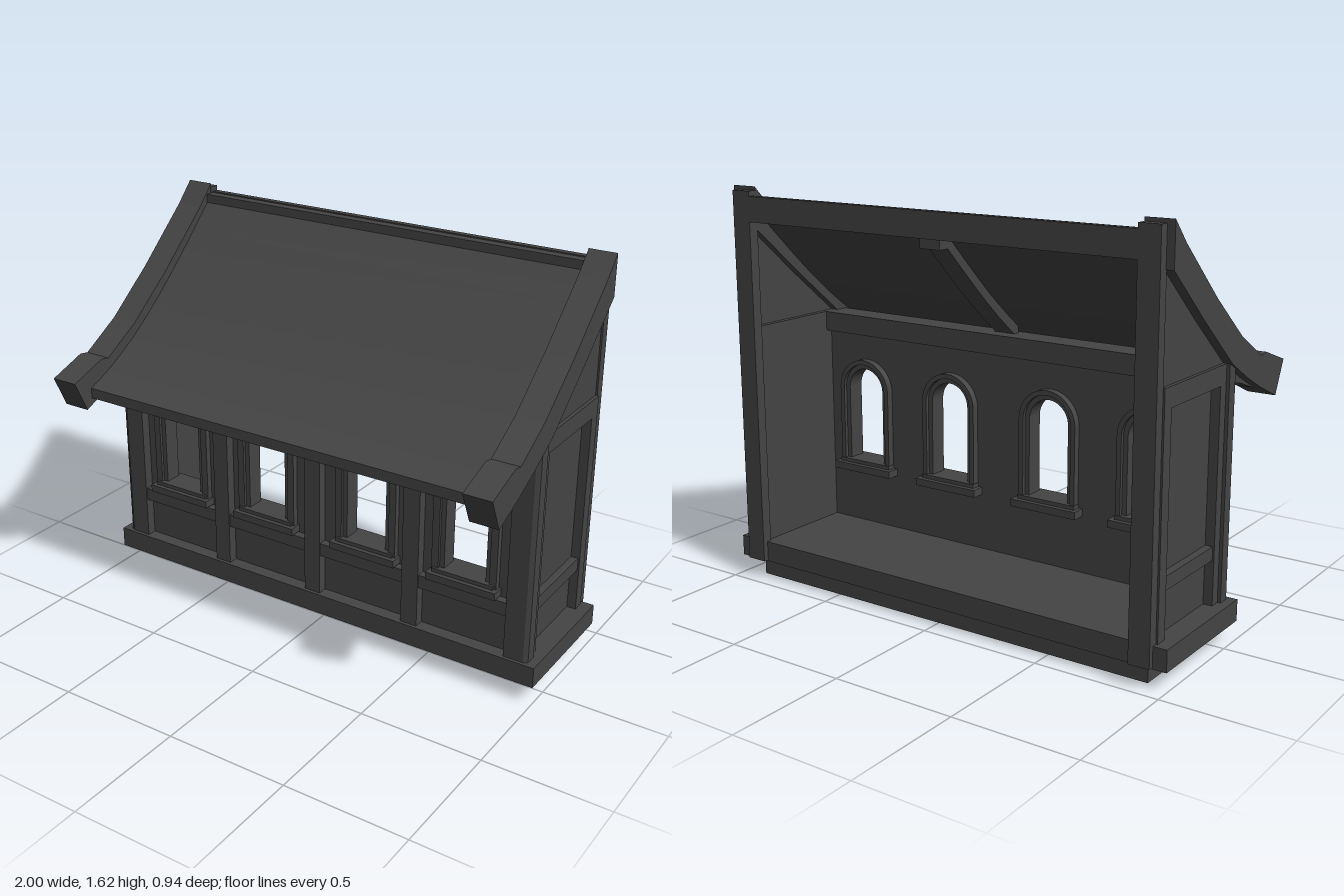
import * as THREE from 'three';

const material = new THREE.MeshStandardMaterial({ color: 0x444444, flatShading: true, side: THREE.DoubleSide });

export function createModel() {
  const model = new THREE.Group();

  const add = (name, geometry) => {
    const mesh = new THREE.Mesh(geometry, material);
    mesh.name = name;
    model.add(mesh);
    return mesh;
  };

  // Box given by its extents
  const box = (name, x0, x1, y0, y1, z0, z1) =>
    add(name, new THREE.BoxGeometry(x1 - x0, y1 - y0, z1 - z0)
      .translate((x0 + x1) / 2, (y0 + y1) / 2, (z0 + z1) / 2));

  // Same box on both ends of the building
  const boxPair = (name, x0, x1, ...rest) => {
    box(name, x0, x1, ...rest);
    box(name, -x1, -x0, ...rest);
  };

  const polygon = (points) => new THREE.Shape(points.map(([a, b]) => new THREE.Vector2(a, b)));

  // Side profile of [z, y] points, extruded from x0 to x1
  const profile = (name, points, x0, x1) =>
    add(name, new THREE.ExtrudeGeometry(polygon(points), { depth: x1 - x0, bevelEnabled: false })
      .rotateY(-Math.PI / 2).translate(x1, 0, 0));
  const profilePair = (name, points, x0, x1) => {
    profile(name, points, x0, x1);
    profile(name, points, -x1, -x0);
  };

  // Upright shape in the front plane, extruded from z0 to z1
  const plate = (name, shape, z0, z1) =>
    add(name, new THREE.ExtrudeGeometry(shape, { depth: z1 - z0, bevelEnabled: false, curveSegments: 12 })
      .translate(0, 0, z0));

  // Round-headed outline around a window centre
  const SPRING = 0.745;
  const arch = (Type, x, half, bottom) => {
    const path = new Type();
    path.moveTo(x - half, bottom);
    path.lineTo(x + half, bottom);
    path.lineTo(x + half, SPRING);
    path.absarc(x, SPRING, half, 0, Math.PI, false);
    path.closePath();
    return path;
  };

  // Plinth, footing and floor brackets
  box('plinth', -1, 1, 0.075, 0.16, -0.445, 0.1);
  box('footing', -0.91, 0.91, 0, 0.075, -0.41, -0.2);
  for (const x of [-0.765, -0.46, -0.145, 0.15, 0.455, 0.77]) {
    profile('floorBracket',
      [[0.01, 0.08], [0.01, 0.048], [-0.05, 0.043], [-0.11, 0.033], [-0.16, 0.017], [-0.2, 0.015], [-0.2, 0.08]],
      x - 0.033, x + 0.033);
  }

  // Front wall pierced by arched windows
  const windows = [-0.675, -0.237, 0.237, 0.675];
  const wall = polygon([[-0.9, 0.16], [0.9, 0.16], [0.9, 1.06], [-0.9, 1.06]]);
  windows.forEach((x) => wall.holes.push(arch(THREE.Path, x, 0.088, 0.435)));
  plate('frontWall', wall, 0, 0.045);

  // Window surrounds, outside and inside, with stepped sills
  const surround = (x, inner, outer, z0, z1) => {
    const ring = arch(THREE.Shape, x, outer, 0.42);
    ring.holes.push(arch(THREE.Path, x, inner, 0.435));
    plate('windowSurround', ring, z0, z1);
  };
  for (const x of windows) {
    surround(x, 0.088, 0.108, -0.015, 0.058);
    surround(x, 0.108, 0.138, 0.03, 0.07);
    surround(x, 0.108, 0.128, -0.03, 0.01);
    box('sillUpper', x - 0.13, x + 0.13, 0.42, 0.436, -0.035, 0.08);
    box('sill', x - 0.148, x + 0.148, 0.39, 0.42, -0.055, 0.098);
  }

  // Front framing: rails, header and columns with widened heads
  box('frontRail', -0.88, 0.88, 0.33, 0.385, 0.04, 0.08);
  box('frontHeader', -0.94, 0.94, 0.95, 1.06, 0.03, 0.084);
  box('innerHeader', -0.88, 0.88, 0.98, 1.06, -0.03, 0.01);
  for (const x of [-0.453, 0, 0.453]) {
    const head = polygon([
      [-0.036, 0.16], [0.036, 0.16], [0.036, 0.78], [0.045, 0.83], [0.065, 0.84],
      [0.065, 1.05], [-0.065, 1.05], [-0.065, 0.84], [-0.045, 0.83], [-0.036, 0.78],
    ]);
    plate('frontColumn', head, 0.04, 0.086).position.x = x;
  }

  // Chamfered corner posts and their bracket heads
  for (const s of [-1, 1]) {
    const plan = polygon([[0.865, -0.03], [0.965, -0.03], [0.965, -0.076],
      [0.948, -0.086], [0.865, -0.086]].map(([x, y]) => [s * x, y]));
    const post = new THREE.ExtrudeGeometry(plan, { depth: 0.9, bevelEnabled: false });
    add('cornerPost', post.rotateX(-Math.PI / 2).translate(0, 0.16, 0));
  }
  boxPair('cornerHead', 0.835, 0.87, 0.84, 1.05, 0.04, 0.086);
  profilePair('eaveBracket',
    [[0.03, 1.05], [0.08, 1.0], [0.11, 0.972], [0.18, 0.957], [0.28, 0.921], [0.3, 0.95], [0.1, 1.06]],
    0.875, 0.94);

  // Side walls: recessed panels inside a raised frame, thinner gables above
  boxPair('sidePanel', 0.872, 0.915, 0.16, 1.06, -0.43, 0.03);
  boxPair('sideStileFront', 0.9, 0.952, 0.16, 1.06, -0.012, 0.032);
  boxPair('sideStileBack', 0.9, 0.952, 0.16, 1.06, -0.425, -0.375);
  boxPair('sideRail', 0.9, 0.945, 0.335, 0.388, -0.375, -0.012);
  boxPair('sideTopRail', 0.9, 0.952, 0.985, 1.06, -0.375, -0.012);
  profilePair('gable', [[0.03, 1.06], [0.03, 1.09], [-0.427, 1.48], [-0.427, 1.06]], 0.895, 0.938);

  // Back posts and ridge
  boxPair('backPost', 0.86, 0.945, 0.08, 1.6, -0.467, -0.425);
  box('ridgeBoard', -0.87, 0.87, 1.48, 1.58, -0.467, -0.44);
  box('ridgeCap', -0.87, 0.87, 1.5, 1.575, -0.44, -0.4);

  // Curved roof sheet between the bargeboards
  const roofCurve = new THREE.CatmullRomCurve3(
    [[0.38, 0.953], [0.27, 1.0], [0.1, 1.1], [-0.11, 1.265], [-0.35, 1.49], [-0.41, 1.55]]
      .map(([z, y]) => new THREE.Vector3(z, y, 0)));
  const roofTop = roofCurve.getPoints(16).map((p) => [p.x, p.y]);
  const below = (drop) => roofTop.map(([z, y]) => [z, y - drop]).reverse();
  profile('roof', [...roofTop, ...below(0.042)], -0.875, 0.875);

  // Middle rafter under the roof, with a block where it meets the ridge
  const rafterTop = below(0.035).reverse();
  profile('rafter', [...rafterTop, ...below(0.09)].filter(([z]) => z < 0.09), -0.045, 0.045);
  box('rafterBlock', -0.045, 0.045, 1.44, 1.5, -0.44, -0.38);

  // Bargeboards sweeping out to blunt raised tails
  profilePair('bargeboard', [
    [0.47, 1.0], [0.31, 1.055], [0.27, 1.048], [0.1, 1.148], [-0.11, 1.315], [-0.35, 1.53], [-0.43, 1.615],
    [-0.43, 1.45], [-0.2, 1.25], [0.03, 1.06], [0.16, 0.985], [0.27, 0.93], [0.41, 0.87],
  ], 0.862, 0.975);

  return model;
}
